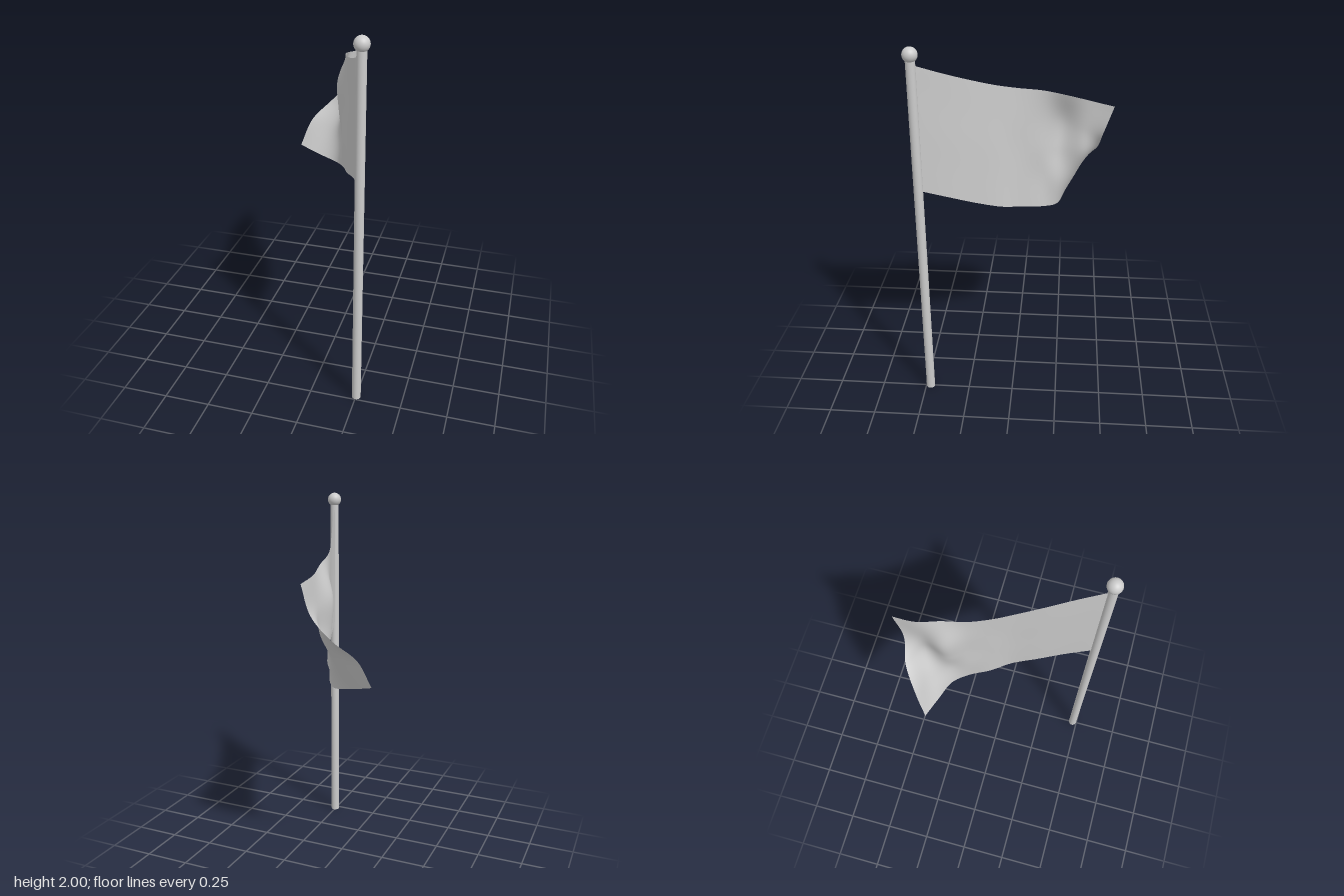
import * as THREE from 'three';

// Cloth control points [x, y, z], pole to free edge, rows from top hem to bottom hem
const CLOTH = [
  [[.245, 1.91, .465], [.2, 1.86, .335], [.15, 1.815, .21], [.1, 1.775, .085], [.055, 1.748, -.025],
    [.018, 1.727, -.14], [.003, 1.7, -.26], [-.018, 1.665, -.385], [-.01, 1.64, -.505]],
  [[.245, 1.746, .465], [.2, 1.696, .333], [.152, 1.65, .205], [.103, 1.61, .08], [.055, 1.584, -.03],
    [.005, 1.565, -.14], [-.055, 1.54, -.245], [-.03, 1.51, -.355], [-.035, 1.48, -.455]],
  [[.245, 1.582, .465], [.202, 1.532, .33], [.155, 1.485, .2], [.107, 1.445, .073], [.055, 1.42, -.03],
    [.01, 1.4, -.135], [-.045, 1.375, -.235], [-.035, 1.375, -.355], [-.13, 1.365, -.43]],
  [[.245, 1.418, .465], [.203, 1.368, .328], [.157, 1.32, .195], [.11, 1.28, .066], [.055, 1.255, -.035],
    [.002, 1.235, -.145], [-.03, 1.215, -.235], [-.105, 1.225, -.32], [-.235, 1.255, -.355]],
  [[.245, 1.255, .465], [.205, 1.205, .325], [.16, 1.155, .19], [.115, 1.115, .06], [.055, 1.09, -.04],
    [.005, 1.07, -.15], [-.055, 1.06, -.225], [-.17, 1.08, -.265], [-.29, 1.11, -.3]],
];
const POLE_X = 0.252, POLE_Z = 0.474;

// Smooth surface through the control rows: splines along, then splines across
function clothGeometry(nu, nv) {
  const rows = CLOTH.map(row =>
    new THREE.CatmullRomCurve3(row.map(p => new THREE.Vector3(...p))).getPoints(nu));
  const geo = new THREE.PlaneGeometry(1, 1, nu, nv);
  const pos = geo.attributes.position;
  for (let i = 0; i <= nu; i++) {
    const column = new THREE.CatmullRomCurve3(rows.map(r => r[i])).getPoints(nv);
    column.forEach((p, j) => pos.setXYZ(j * (nu + 1) + i, p.x, p.y, p.z));
  }
  geo.computeVertexNormals();
  return geo;
}

export function createModel() {
  const group = new THREE.Group();
  const metal = new THREE.MeshStandardMaterial({ color: 0xcccccc });
  const fabric = new THREE.MeshStandardMaterial({ color: 0xcccccc, side: THREE.DoubleSide });

  const add = (name, geometry, material, x = 0, y = 0, z = 0) => {
    const mesh = new THREE.Mesh(geometry, material);
    mesh.name = name;
    mesh.position.set(x, y, z);
    group.add(mesh);
  };

  // Pole with a ball on top
  add('pole', new THREE.CylinderGeometry(0.024, 0.024, 1.95, 32), metal, POLE_X, 0.975, POLE_Z);
  add('finial', new THREE.SphereGeometry(0.038, 32, 20), metal, POLE_X, 1.962, POLE_Z);

  // Waving cloth
  add('flag', clothGeometry(48, 32), fabric);

  return group;
}
